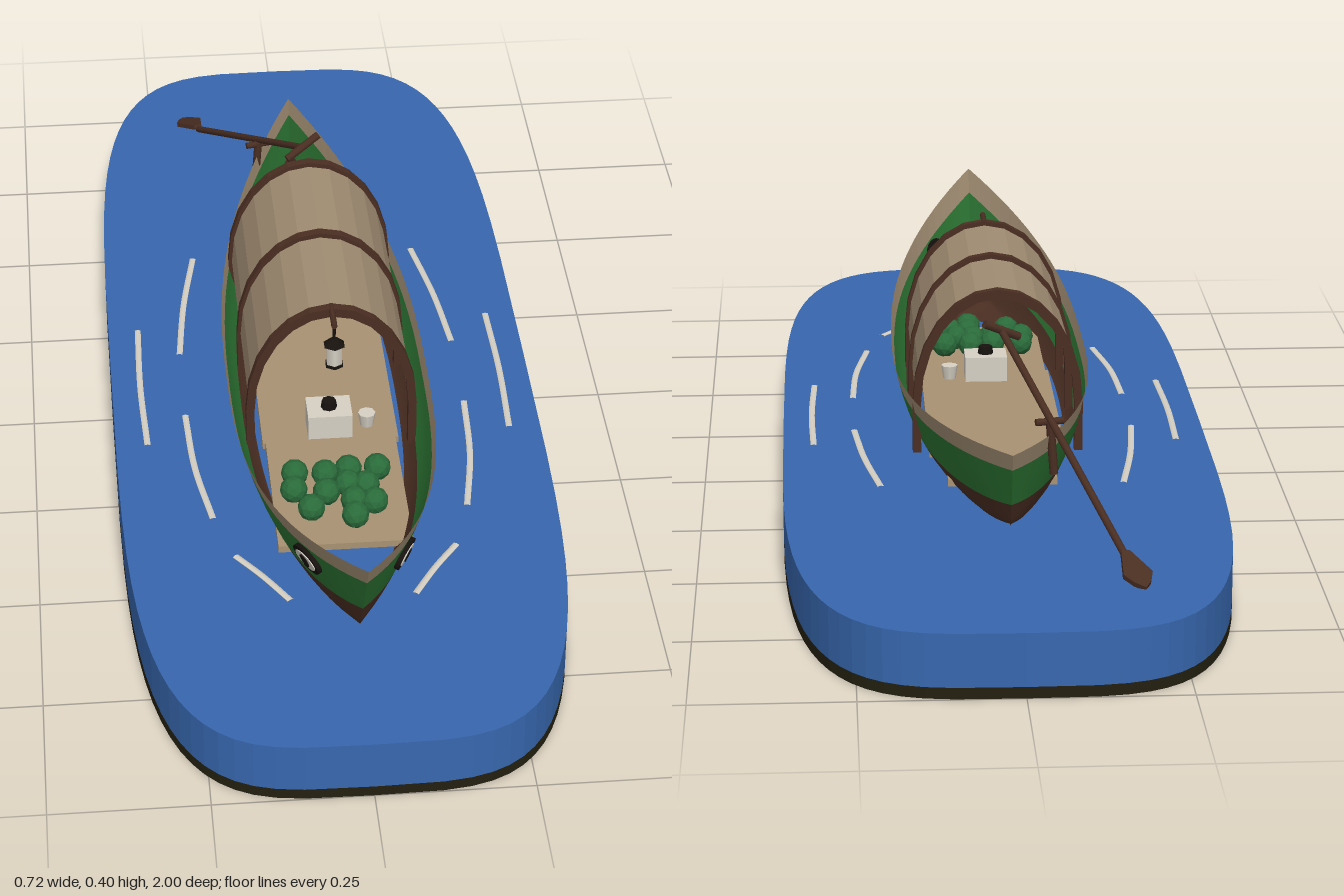
import * as THREE from 'three';

const mat = (name, color, extra = {}) => {
  const m = new THREE.MeshStandardMaterial({ color, ...extra });
  m.name = name;
  return m;
};
const V = (x, y, z) => new THREE.Vector3(x, y, z);

// Hull surface: u runs stern (-1) to bow (1), v keel (0) to sheer (1), s is the side
function hullPoint(u, v, s) {
  const a = Math.abs(u), bow = u > 0;
  const zTop = 0.12 + 0.76 * u, zKeel = 0.0875 + 0.6725 * u;
  const yTop = 0.203 + (bow ? 0.137 : 0.052) * a * a;
  const yKeel = 0.09 + (bow ? 0.05 : 0.03) * a ** 6;
  const half = 0.17 * (1 - a ** (bow ? 2.8 : 2.2));
  return V(s * half * (v > 0 ? v ** 0.14 : 0), yKeel + (yTop - yKeel) * v, zKeel + (zTop - zKeel) * v);
}

// One painted band of planking on one side
function hullBand(rows, s) {
  const n = 44, pos = [], idx = [], w = rows.length;
  for (let i = 0; i <= n; i++)
    for (const v of rows) pos.push(...hullPoint(-1 + (2 * i) / n, v, s).toArray());
  for (let i = 0; i < n; i++)
    for (let j = 0; j < w - 1; j++) {
      const a = i * w + j, b = a + w;
      if (s > 0) idx.push(a, a + 1, b, b, a + 1, b + 1);
      else idx.push(a, b, a + 1, b, b + 1, a + 1);
    }
  const g = new THREE.BufferGeometry();
  g.setAttribute('position', new THREE.Float32BufferAttribute(pos, 3));
  g.setIndex(idx);
  g.computeVertexNormals();
  return g;
}

export function createModel() {
  const root = new THREE.Group();
  root.name = 'riverBoat';
  const D = { side: THREE.DoubleSide };
  const water = mat('water blue', 0x3767ae);
  const base = mat('base dark', 0x231f10);
  const green = mat('hull green', 0x2c7433, D);
  const wood = mat('brown wood', 0x4a2e22, D);
  const tan = mat('woven tan', 0xa08c72, { ...D, flatShading: true });
  const plank = mat('deck plank', 0xa89272);
  const cream = mat('cream', 0xd6d0c4);
  const dark = mat('near black', 0x17120e);
  const leaf = mat('cargo green', 0x2a6b3a, { flatShading: true });

  const add = (name, geo, m, x = 0, y = 0, z = 0, parent = root) => {
    const mesh = new THREE.Mesh(geo, m);
    mesh.name = name;
    mesh.position.set(x, y, z);
    parent.add(mesh);
    return mesh;
  };
  // Round bar between two points
  const rod = (name, a, b, r, m, sides = 8) => {
    const mesh = add(name, new THREE.CylinderGeometry(r, r, a.distanceTo(b), sides), m);
    mesh.position.copy(a).lerp(b, 0.5);
    mesh.quaternion.setFromUnitVectors(V(0, 1, 0), b.clone().sub(a).normalize());
    return mesh;
  };

  // Water block on a dark base, with a rounded-rectangle outline
  const outline = [];
  for (let i = 0; i < 72; i++) {
    const t = (i / 72) * Math.PI * 2, c = Math.cos(t), s = Math.sin(t);
    outline.push(new THREE.Vector2(0.362 * Math.sign(c) * Math.sqrt(Math.abs(c)), Math.sign(s) * Math.sqrt(Math.abs(s))));
  }
  const slab = (depth) => new THREE.ExtrudeGeometry(new THREE.Shape(outline), { depth, bevelEnabled: false }).rotateX(-Math.PI / 2);
  add('baseSlab', slab(0.018), base);
  add('waterBlock', slab(0.085), water, 0, 0.018);

  // Ripples on both sides
  const ripples = [
    [0.31, -0.12, 0.313, 0.05, 0.308, 0.22],
    [0.2, -0.34, 0.225, -0.19, 0.24, -0.04],
    [0.24, 0.14, 0.232, 0.29, 0.21, 0.43],
    [0.18, 0.53, 0.14, 0.585, 0.1, 0.65],
  ];
  for (const s of [1, -1])
    for (const [a, b, c, d, e, f] of ripples) {
      const curve = new THREE.CatmullRomCurve3([V(s * a, 0, b), V(s * c, 0, d), V(s * e, 0, f)]);
      add('ripple', new THREE.TubeGeometry(curve, 12, 0.006, 6).scale(1, 0.4, 1), cream, 0, 0.1035, 0);
    }

  // Hull in three bands, open at the top
  const bands = [
    ['lowerHull', [0, 0.03, 0.07, 0.12, 0.2, 0.3], wood],
    ['greenStrake', [0.3, 0.45, 0.62, 0.79], green],
    ['gunwale', [0.79, 1], tan],
  ];
  for (const s of [1, -1]) for (const [name, rows, m] of bands) add(name, hullBand(rows, s), m);

  // Deck boards
  add('foreDeck', new THREE.BoxGeometry(0.22, 0.012, 0.28), plank, 0, 0.112, 0.39);
  add('midDeck', new THREE.BoxGeometry(0.23, 0.012, 0.45), plank, 0, 0.112, 0.025);
  add('aftDeck', new THREE.BoxGeometry(0.18, 0.012, 0.15), plank, 0, 0.112, -0.275);

  // Painted bow eyes, set square to the planking
  for (const s of [1, -1]) {
    const u = 0.8, v = 0.63, p = hullPoint(u, v, s);
    const along = hullPoint(u + 0.02, v, s).sub(hullPoint(u - 0.02, v, s)).normalize();
    const up = hullPoint(u, v + 0.05, s).sub(hullPoint(u, v - 0.05, s));
    const out = along.clone().cross(up).normalize();
    if (out.x * s < 0) out.negate();
    const eye = new THREE.Group();
    eye.name = 'bowEye';
    eye.position.copy(p);
    eye.quaternion.setFromRotationMatrix(new THREE.Matrix4().makeBasis(along, out, along.clone().cross(out)));
    root.add(eye);
    const disc = (rx, rz, h) => new THREE.CylinderGeometry(1, 1, h, 20).scale(rx, 1, rz);
    add('eyeOutline', disc(0.04, 0.024, 0.009), dark, 0, 0.002, 0, eye);
    add('eyeWhite', disc(0.031, 0.016, 0.004), cream, 0, 0.006, 0, eye);
    add('eyePupil', disc(0.012, 0.012, 0.004), dark, 0, 0.0075, 0, eye);
  }

  // Arched canopy with three ribs
  const cover = new THREE.CylinderGeometry(1, 1, 0.45, 12, 1, true, -Math.PI / 2, Math.PI);
  add('canopyCover', cover.rotateX(-Math.PI / 2).scale(0.137, 0.19, 1), tan, 0, 0.2, 0.033);
  const arch = (rx, ry) => {
    const pts = [[rx, -0.085]];
    for (let i = 0; i <= 12; i++) pts.push([rx * Math.cos((i * Math.PI) / 12), ry * Math.sin((i * Math.PI) / 12)]);
    pts.push([-rx, -0.085]);
    return pts.map(([x, y]) => new THREE.Vector2(x, y));
  };
  const ribShape = new THREE.Shape([...arch(0.143, 0.198), ...arch(0.129, 0.182).reverse()]);
  const rib = new THREE.ExtrudeGeometry(ribShape, { depth: 0.016, bevelEnabled: false });
  for (const z of [-0.2, 0.025, 0.25]) add('canopyRib', rib, wood, 0, 0.2, z);

  // Hanging lantern
  rod('lanternArm', V(0, 0.394, 0.25), V(0, 0.394, 0.312), 0.005, wood);
  rod('lanternCord', V(0, 0.394, 0.308), V(0, 0.362, 0.308), 0.0025, dark);
  add('lanternRoof', new THREE.CylinderGeometry(0.006, 0.019, 0.012, 6), dark, 0, 0.362, 0.308);
  add('lanternGlass', new THREE.CylinderGeometry(0.014, 0.014, 0.036, 6), cream, 0, 0.338, 0.308);
  add('lanternFoot', new THREE.CylinderGeometry(0.016, 0.016, 0.005, 6), dark, 0, 0.318, 0.308);

  // White chest with a knob, and a cup, under the canopy
  add('chest', new THREE.BoxGeometry(0.075, 0.045, 0.06), cream, 0, 0.14, 0.215);
  add('chestKnob', new THREE.CylinderGeometry(0.012, 0.014, 0.014, 8), dark, 0, 0.169, 0.215);
  add('cup', new THREE.CylinderGeometry(0.015, 0.011, 0.025, 8), cream, 0.065, 0.13, 0.21);

  // Heap of round green produce on the fore deck
  const heap = [
    [-0.07, 0.36], [-0.02, 0.365], [0.02, 0.355], [0.068, 0.355], [-0.075, 0.405], [-0.022, 0.415], [0.015, 0.395],
    [0.045, 0.4], [-0.05, 0.455], [0.022, 0.44], [0.055, 0.445], [0.02, 0.48],
  ];
  heap.forEach(([x, z], i) => {
    const ball = add('produce', new THREE.IcosahedronGeometry(0.023, 1), leaf, x, 0.137, z);
    ball.rotation.set(i, i * 1.7, 0);
  });

  // Stern oar resting on a post
  const grip = V(0, 0.358, -0.3), neck = V(-0.165, 0.13, -0.75), tip = V(-0.19, 0.1, -0.83);
  rod('oarShaft', grip, neck, 0.006, wood);
  rod('oarGrip', V(-0.03, 0.343, -0.288), V(0.028, 0.373, -0.316), 0.007, wood);
  const blade = new THREE.Shape([[-0.007, 0], [0.007, 0], [0.024, 0.055], [0.014, 0.075], [0, 0.09], [-0.014, 0.075], [-0.024, 0.055]].map(([x, y]) => new THREE.Vector2(x, y)));
  const paddle = add('oarBlade', new THREE.ExtrudeGeometry(blade, { depth: 0.008, bevelEnabled: false }), wood);
  const dir = tip.clone().sub(neck).normalize();
  const side = dir.clone().cross(V(0, 1, 0)).normalize();
  paddle.quaternion.setFromRotationMatrix(new THREE.Matrix4().makeBasis(side, dir, side.clone().cross(dir)));
  paddle.position.copy(neck);
  rod('oarPost', V(-0.075, 0.17, -0.48), V(-0.068, 0.262, -0.48), 0.007, wood);
  rod('oarRest', V(-0.09, 0.258, -0.475), V(-0.045, 0.258, -0.485), 0.006, wood);

  return root;
}
